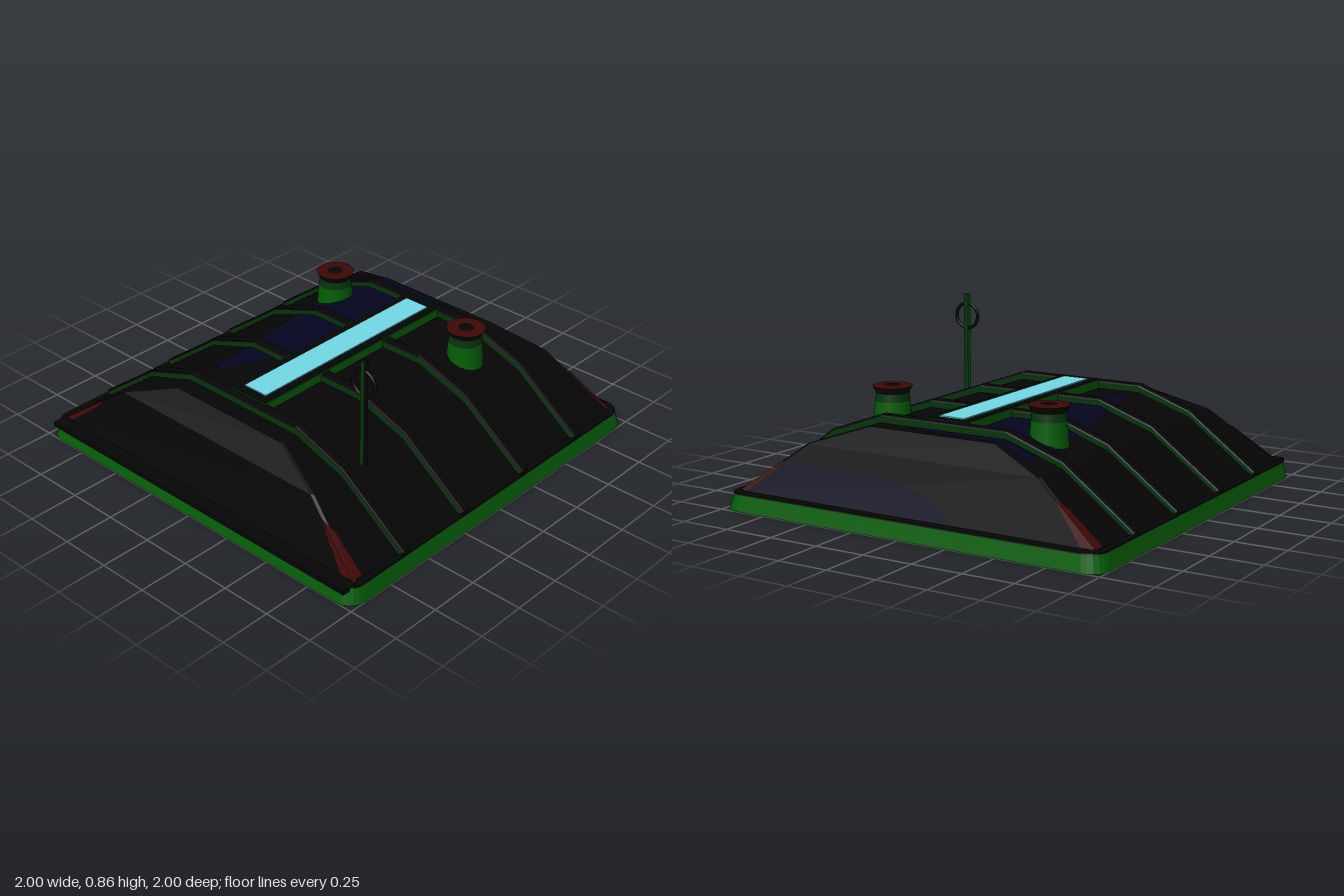
import * as THREE from 'three';

const mat = (name, color, extra = {}) => {
  const m = new THREE.MeshStandardMaterial({ color, ...extra });
  m.name = name;
  return m;
};

// Rounded rectangle cross-section at height y
function ring(hx, hz, y, r, steps = 5) {
  const pts = [];
  for (let q = 0; q < 4; q++) {
    const sx = q === 0 || q === 3 ? 1 : -1, sz = q < 2 ? 1 : -1;
    for (let i = 0; i <= steps; i++) {
      const a = (q + i / steps) * Math.PI / 2;
      pts.push([sx * (hx - r) + r * Math.cos(a), y, sz * (hz - r) + r * Math.sin(a)]);
    }
  }
  return pts;
}

// Flat-shaded solid through stacked rings, closed at both ends
function loft(rings) {
  const v = [], n = rings[0].length;
  const tri = (a, b, c) => v.push(...a, ...b, ...c);
  const lo = [0, rings[0][0][1], 0], hi = [0, rings[rings.length - 1][0][1], 0];
  for (let i = 0; i < n; i++) {
    const j = (i + 1) % n;
    for (let k = 0; k + 1 < rings.length; k++) {
      const A = rings[k], B = rings[k + 1];
      tri(A[i], B[i], A[j]);
      tri(A[j], B[i], B[j]);
    }
    tri(lo, rings[0][i], rings[0][j]);
    tri(hi, rings[rings.length - 1][j], rings[rings.length - 1][i]);
  }
  return flat(v);
}

function flat(v) {
  const g = new THREE.BufferGeometry();
  g.setAttribute('position', new THREE.Float32BufferAttribute(v, 3));
  g.computeVertexNormals();
  return g;
}

// Flat convex patch from a fan of corner points
function patch(points) {
  const v = [];
  for (let i = 1; i + 1 < points.length; i++) v.push(...points[0], ...points[i], ...points[i + 1]);
  return flat(v);
}

export function createModel() {
  const model = new THREE.Group();
  const green = mat('darkGreen', 0x045c06);
  const deepGreen = mat('deepGreen', 0x05330a);
  const black = mat('black', 0x050505);
  const red = mat('darkRed', 0x400606, { side: THREE.DoubleSide });
  const blue = mat('darkBlue', 0x040420, { side: THREE.DoubleSide });
  const cyan = mat('paleCyan', 0x72dae7);
  const add = (name, geo, material, x = 0, y = 0, z = 0, parent = model) => {
    const m = new THREE.Mesh(geo, material);
    m.name = name;
    m.position.set(x, y, z);
    parent.add(m);
    return m;
  };

  // Base slab, dark deck and front sill
  add('base', loft([ring(1, 1, 0, 0.09), ring(0.98, 0.98, 0.076, 0.08)]), green);
  add('deck', loft([ring(0.982, 0.982, 0.075, 0.08), ring(0.98, 0.98, 0.082, 0.08)]), black);
  add('frontSill', new THREE.BoxGeometry(1.91, 0.022, 0.07), black, 0, 0.072, 0.965);

  // Faceted shell
  add('shell', loft([
    ring(0.955, 0.93, 0.075, 0.012, 1),
    ring(0.62, 0.835, 0.325, 0.012, 1),
    ring(0.34, 0.735, 0.42, 0.012, 1),
  ]), black);

  // Arched ribs: deep green faces, black outer edge
  const half = [[0.965, 0.07], [0.965, 0.09], [0.615, 0.35], [0.335, 0.45]];
  const arch = new THREE.Shape([...half, ...half.map(([x, y]) => [-x, y]).reverse()]
    .map(([x, y]) => new THREE.Vector2(x, y)));
  const ribGeo = new THREE.ExtrudeGeometry(arch, {
    depth: 0.03, bevelThickness: 0.012, bevelSize: 0.01, bevelSegments: 2,
  });
  ribGeo.translate(0, 0, -0.015);
  for (const z of [-0.62, -0.215, 0.215, 0.62]) add('rib', ribGeo, [deepGreen, black], 0, 0, z);

  // Roof ridge with dark cap and light strip
  add('ridge', new THREE.BoxGeometry(0.225, 0.05, 1.22), green, 0, 0.437, 0);
  add('ridgeCap', new THREE.BoxGeometry(0.213, 0.004, 1.21), black, 0, 0.463, 0);
  add('lightStrip', new THREE.BoxGeometry(0.135, 0.009, 1.13), cyan, 0, 0.466, -0.005);

  // Roof vents
  for (const s of [-1, 1]) {
    const vent = new THREE.Group();
    vent.name = 'vent';
    vent.position.set(s * 0.425, 0, -0.43);
    model.add(vent);
    add('ventBody', new THREE.CylinderGeometry(0.083, 0.093, 0.12, 16, 1, true), green, 0, 0.42, 0, vent);
    add('ventNeck', new THREE.CylinderGeometry(0.078, 0.083, 0.04, 16, 1, true), deepGreen, 0, 0.5, 0, vent);
    add('ventFlare', new THREE.CylinderGeometry(0.095, 0.078, 0.03, 16, 1, true), black, 0, 0.535, 0, vent);
    add('ventRim', new THREE.CircleGeometry(0.095, 20).rotateX(-Math.PI / 2), red, 0, 0.55, 0, vent);
    add('ventHole', new THREE.CircleGeometry(0.038, 16).rotateX(-Math.PI / 2), black, 0, 0.553, 0, vent);
  }

  // Aerial with loop
  add('aerialPole', new THREE.BoxGeometry(0.024, 0.535, 0.024),
    [black, green, black, green, deepGreen, deepGreen], 0.62, 0.588, 0.508);
  add('aerialLoop', new THREE.TorusGeometry(0.064, 0.009, 8, 28), black, 0.62, 0.742, 0.508);

  // Red markings at the shell corners, wide on one diagonal and slim on the other
  for (const sx of [-1, 1]) for (const sz of [-1, 1]) {
    const p = (x, y, z) => [sx * x, y, sz * z];
    const wide = sx === sz;
    const low = p(0.94, 0.088, 0.93), high = p(0.706, 0.258, 0.865);
    add('cornerMarkEnd', patch([low, high, p(0.76, 0.2, 0.887), p(wide ? 0.87 : 0.9, 0.088, 0.93)]), red);
    add('cornerMarkSide', patch([low, high, p(0.772, 0.214, wide ? 0.85 : 0.868), p(0.943, 0.088, wide ? 0.87 : 0.912)]), red);
  }

  // Blue panels on the roof and rear slope
  const roof = (x, z) => [x, 0.424 - Math.max(0, Math.abs(x) - 0.34) * 0.339, z];
  add('roofPanelOuter', patch([roof(-0.5, -0.6), roof(-0.34, -0.6), roof(-0.34, 0.48), roof(-0.46, -0.15)]), blue);
  add('roofPanelInner', patch([roof(-0.34, -0.6), roof(-0.115, -0.6), roof(-0.115, 0.05), roof(-0.31, 0.5), roof(-0.34, 0.48)]), blue);
  add('roofPanelRear', patch([roof(-0.34, -0.73), roof(0.15, -0.7), roof(0.15, -0.66), roof(-0.34, -0.66)]), blue);
  add('roofPanelRearOuter', patch([roof(-0.52, -0.74), roof(-0.34, -0.73), roof(-0.34, -0.66), roof(-0.52, -0.66)]), blue);
  const rear = (x, y) => [x, y, -0.934 + (y - 0.075) * 0.38];
  add('rearPanel', patch([rear(0.88, 0.09), rear(0.67, 0.24), rear(0.08, 0.225), rear(-0.1, 0.17), rear(-0.24, 0.09)]), blue);

  return model;
}
